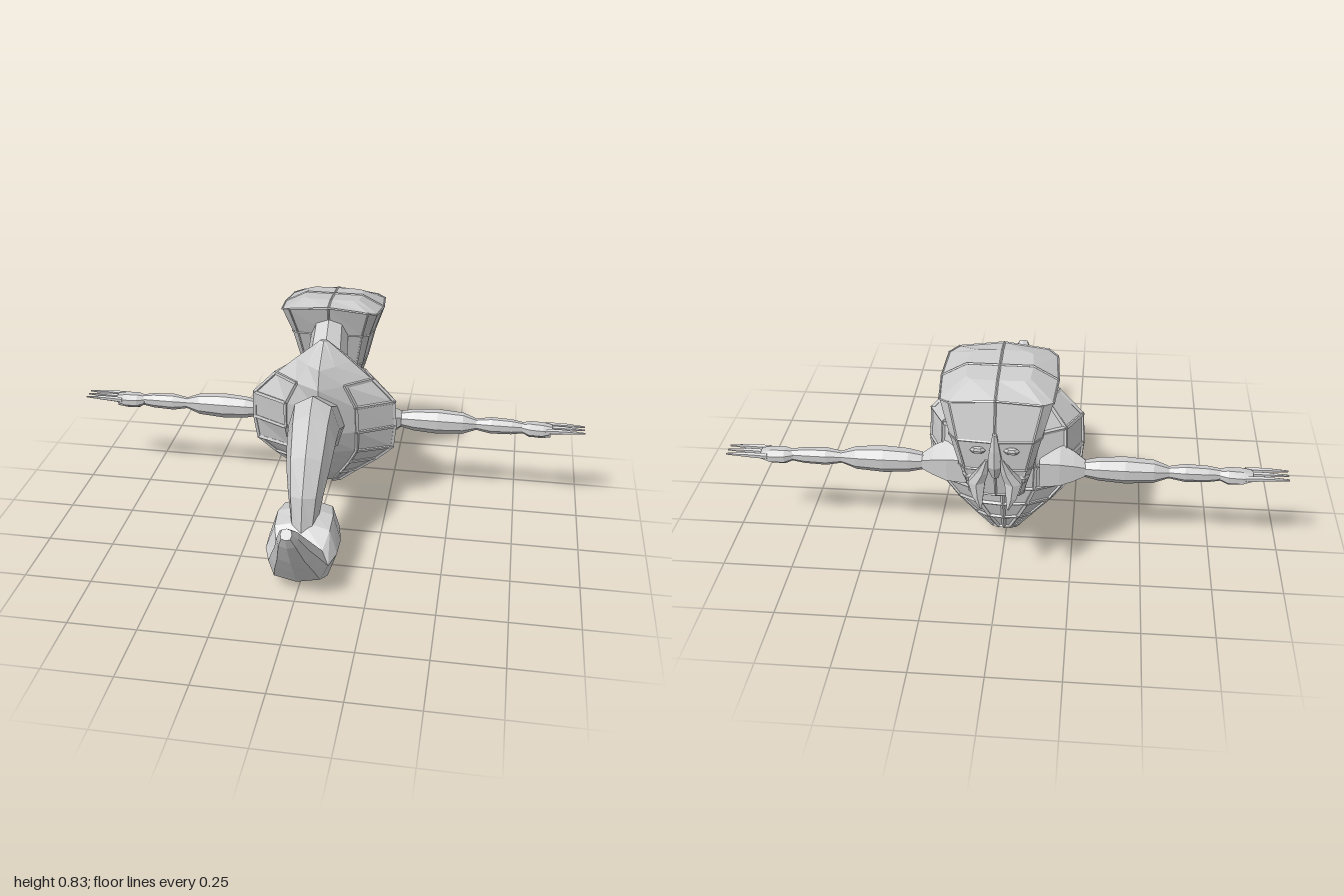
import * as THREE from 'three';
import { mergeGeometries } from 'three/addons/utils/BufferGeometryUtils.js';

const V = (x, y, z) => new THREE.Vector3(x, y, z);
const grey = new THREE.MeshStandardMaterial({ color: 0xcccccc, flatShading: true });
grey.name = 'light grey';

// Skin a list of equal-length closed rings and cap both ends, facing outward
function loft(rings) {
  const n = rings[0].length, tris = [];
  for (let r = 0; r < rings.length - 1; r++) {
    for (let i = 0; i < n; i++) {
      const j = (i + 1) % n;
      const a = rings[r][i], b = rings[r][j], c = rings[r + 1][j], d = rings[r + 1][i];
      tris.push([a, b, c], [a, c, d]);
    }
  }
  const first = rings[0], last = rings[rings.length - 1];
  for (let i = 1; i < n - 1; i++) {
    tris.push([first[0], first[i + 1], first[i]], [last[0], last[i], last[i + 1]]);
  }
  let volume = 0;
  for (const [a, b, c] of tris) volume += a.dot(b.clone().cross(c));
  const pos = [];
  for (const [a, b, c] of tris) {
    for (const p of volume > 0 ? [a, b, c] : [a, c, b]) pos.push(p.x, p.y, p.z);
  }
  const g = new THREE.BufferGeometry();
  g.setAttribute('position', new THREE.Float32BufferAttribute(pos, 3));
  g.computeVertexNormals();
  return g;
}

// Rounded ring between two points on the centre plane: [z1, y1, z2, y2, halfWidth];
// a lower power makes it squarer
function planeRing([z1, y1, z2, y2, w], sides = 8, power = 1) {
  const bend = (t) => (Math.abs(t) < 1e-6 ? 0 : Math.sign(t) * Math.pow(Math.abs(t), power));
  return Array.from({ length: sides }, (_, i) => {
    const a = (i / sides) * Math.PI * 2;
    const c = bend(Math.cos(a)), s = bend(Math.sin(a));
    return V(w * s, (y1 + y2) / 2 + c * (y1 - y2) / 2, (z1 + z2) / 2 + c * (z1 - z2) / 2);
  });
}

// Raised seams: short square rods along paths
function seams(paths, radius) {
  const rods = [];
  for (const path of paths) {
    for (let i = 0; i < path.length - 1; i++) {
      const dir = path[i + 1].clone().sub(path[i]);
      const rod = new THREE.CylinderGeometry(radius, radius, dir.length() + radius, 4, 1);
      rod.applyQuaternion(new THREE.Quaternion().setFromUnitVectors(V(0, 1, 0), dir.clone().normalize()));
      const mid = path[i].clone().add(path[i + 1]).multiplyScalar(0.5);
      rods.push(rod.translate(mid.x, mid.y, mid.z));
    }
  }
  return mergeGeometries(rods);
}

export function createModel() {
  const model = new THREE.Group();
  model.name = 'creature';
  const add = (name, geometry) => {
    const mesh = new THREE.Mesh(geometry, grey);
    mesh.name = name;
    model.add(mesh);
  };

  // Arched tail
  add('tail', loft([
    [-0.12, 0.52, -0.12, 0.27, 0.09], [-0.01, 0.56, -0.014, 0.32, 0.095],
    [0.1, 0.615, 0.045, 0.335, 0.095], [0.16, 0.57, 0.107, 0.33, 0.09],
    [0.256, 0.45, 0.15, 0.305, 0.08], [0.33, 0.32, 0.18, 0.28, 0.065],
    [0.36, 0.18, 0.2, 0.24, 0.05], [0.37, 0.12, 0.22, 0.15, 0.04],
  ].map((r) => planeRing(r))));

  // Club at the end of the tail, rising to a narrow tip
  add('tailClub', loft([
    [0.156, 0.18, 0.156, 0.08, 0.085], [0.18, 0.235, 0.19, 0.02, 0.115],
    [0.256, 0.25, 0.287, 0, 0.132], [0.325, 0.225, 0.384, 0.014, 0.13],
    [0.385, 0.165, 0.45, 0.05, 0.108], [0.43, 0.21, 0.505, 0.125, 0.088],
    [0.5, 0.278, 0.56, 0.2, 0.062], [0.585, 0.355, 0.622, 0.3, 0.038], [0.618, 0.377, 0.642, 0.345, 0.02],
  ].map((r) => planeRing(r, 8, 0.75))));

  // Torso rings: [y, front z, side z, back z, half width]
  const torso = [
    [0.725, -0.145, -0.153, -0.165, 0.015], [0.65, -0.04, -0.15, -0.23, 0.105],
    [0.58, -0.015, -0.15, -0.272, 0.185], [0.49, -0.025, -0.155, -0.325, 0.27],
    [0.38, -0.04, -0.17, -0.358, 0.275], [0.28, -0.09, -0.19, -0.35, 0.265],
    [0.21, -0.13, -0.215, -0.34, 0.2], [0.14, -0.175, -0.24, -0.32, 0.12],
    [0.075, -0.245, -0.265, -0.288, 0.05],
  ].map(([y, f, s, b, w]) => {
    const half = [[0.5, f + 0.42 * (s - f)], [1, s], [0.8, s + 0.6 * (b - s)], [0.42, s + 0.93 * (b - s)]];
    return [
      V(0, y, f), ...half.map(([k, z]) => V(k * w, y, z)), V(0, y, b),
      ...half.reverse().map(([k, z]) => V(-k * w, y, z)),
    ];
  });
  add('torso', loft(torso));
  const shell = torso.slice(2);
  add('shellSeams', seams([
    ...shell.map((r) => r.slice(1)),
    ...Array.from({ length: 9 }, (_, i) => shell.map((r) => r[i + 1])),
  ], 0.008));

  // Neck
  const neck = new THREE.CylinderGeometry(0.065, 0.085, 0.3, 8);
  neck.rotateX(-0.72).translate(0, 0.65, -0.26);
  add('neck', neck);

  // Head: boxy, wide at the crown and narrow at the chin
  const head = [
    [-0.25, 0.815, -0.58, 0.775, 0.193], [-0.29, 0.69, -0.612, 0.64, 0.158],
    [-0.335, 0.55, -0.605, 0.53, 0.128], [-0.39, 0.435, -0.585, 0.42, 0.095],
  ].map((r) => planeRing(r, 12, 0.35));
  for (const p of head[0]) p.y -= 0.025 * (p.x / 0.193) ** 2;
  const crown = planeRing([-0.32, 0.823, -0.5, 0.806, 0.11], 12, 0.35);
  add('head', loft([crown, ...head]));
  add('headSeams', seams([
    ...head.map((r) => [...r, r[0]]),
    ...[0, 1, 3, 5, 6, 7, 9, 11].map((i) => head.map((r) => r[i])),
    [head[0][0], crown[0], crown[6], head[0][6]],
    [head[0][3], crown[3], crown[9], head[0][9]],
  ], 0.004));

  // Nose ridge on the face
  add('nose', loft([
    [-0.6, 0.67, -0.62, 0.67, 0.008], [-0.59, 0.61, -0.63, 0.61, 0.02],
    [-0.58, 0.56, -0.632, 0.55, 0.03], [-0.58, 0.5, -0.61, 0.5, 0.012],
  ].map((r) => planeRing(r, 6))));

  for (const side of [1, -1]) {
    const label = side > 0 ? 'left' : 'right';

    // Eye, cheek and curved tusk
    const eye = new THREE.SphereGeometry(0.022, 6, 4);
    eye.scale(1.2, 0.6, 0.5).translate(side * 0.055, 0.61, -0.612);
    add(label + 'Eye', eye);
    add(label + 'Cheek', new THREE.SphereGeometry(0.027, 6, 4).translate(side * 0.085, 0.495, -0.575));
    const tusk = [
      [0.025, 0.585, -0.63, 0.006], [0.04, 0.53, -0.615, 0.022], [0.06, 0.49, -0.605, 0.032],
      [0.055, 0.44, -0.622, 0.02], [0.045, 0.4, -0.638, 0.004],
    ];
    add(label + 'Tusk', loft(tusk.map(([x, y, z, r]) =>
      planeRing([z + r, y, z - r, y, r], 6).map((p) => p.add(V(side * x, 0, 0))))));

    // Arm pieces: rings of [x, half height, half depth, y, z]
    const limb = (name, rows, sides = 8) => add(label + name, loft(rows.map(([x, h, d, y, z]) =>
      Array.from({ length: sides }, (_, i) => {
        const a = ((i + 0.5) / sides) * Math.PI * 2;
        return V(side * x, y + h * Math.sin(a), z + d * Math.cos(a));
      }))));
    limb('Shoulder', [
      [0.13, 0.095, 0.09, 0.345, -0.27], [0.2, 0.088, 0.084, 0.346, -0.272],
      [0.25, 0.062, 0.058, 0.348, -0.283], [0.29, 0.034, 0.032, 0.35, -0.295],
    ], 6);
    limb('UpperArm', [
      [0.27, 0.028, 0.025, 0.35, -0.295], [0.34, 0.044, 0.037, 0.35, -0.295],
      [0.43, 0.05, 0.042, 0.35, -0.295], [0.53, 0.043, 0.036, 0.35, -0.295],
      [0.59, 0.02, 0.018, 0.35, -0.295],
    ]);
    limb('Forearm', [
      [0.58, 0.022, 0.019, 0.35, -0.295], [0.64, 0.033, 0.029, 0.35, -0.295],
      [0.72, 0.03, 0.026, 0.35, -0.295], [0.79, 0.018, 0.016, 0.35, -0.295],
    ]);
    limb('Hand', [
      [0.76, 0.02, 0.022, 0.35, -0.295], [0.79, 0.03, 0.036, 0.347, -0.295],
      [0.84, 0.028, 0.038, 0.347, -0.295], [0.875, 0.016, 0.032, 0.352, -0.295],
    ]);
    limb('Thumb', [
      [0.78, 0.012, 0.012, 0.332, -0.285], [0.83, 0.012, 0.012, 0.33, -0.28],
      [0.87, 0.005, 0.006, 0.33, -0.278],
    ], 6);
    [-0.323, -0.295, -0.267].forEach((z, i) => limb('Finger' + (i + 1), [
      [0.85, 0.012, 0.01, 0.355, z], [0.92, 0.01, 0.009, 0.358, z], [1, 0.003, 0.004, 0.358, z],
    ], 6));
  }
  return model;
}
